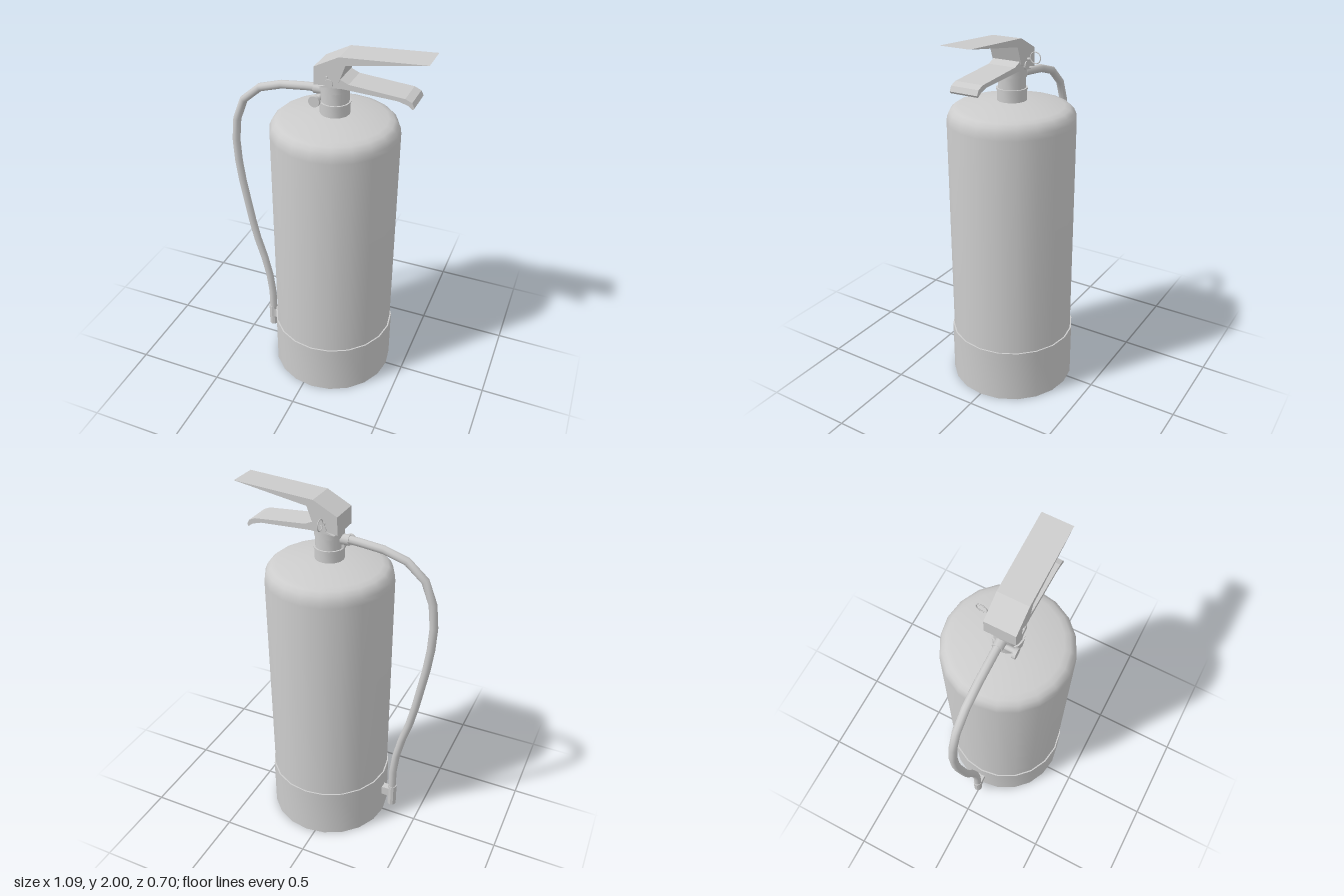
import * as THREE from 'three';
import { toCreasedNormals } from 'three/addons/utils/BufferGeometryUtils.js';

const CX = 0.053; // cylinder axis
const material = new THREE.MeshStandardMaterial({ color: 0xcccccc });
const v2 = ([x, y]) => new THREE.Vector2(x, y);

export function createModel() {
  const model = new THREE.Group();
  model.name = 'fireExtinguisher';

  const add = (name, geometry, x = 0, y = 0, z = 0) => {
    const mesh = new THREE.Mesh(geometry, material);
    mesh.name = name;
    mesh.position.set(x, y, z);
    model.add(mesh);
    return mesh;
  };
  const lathe = (name, points, sides, x, crease = 0.6) =>
    add(name, toCreasedNormals(new THREE.LatheGeometry(points.map(v2), sides), crease), x);
  // Side outline in x/y, extruded symmetrically across z
  const plate = (name, points, width) => {
    const geometry = new THREE.ExtrudeGeometry(new THREE.Shape(points.map(v2)), { depth: width, bevelEnabled: false });
    return add(name, toCreasedNormals(geometry.translate(0, 0, -width / 2), 0.3), 0, 0, -0.002);
  };

  // Tank with rounded shoulder and shallow dome
  lathe('tank', [
    [0.34, 0.29], [0.34, 1.53], [0.337, 1.56], [0.325, 1.588], [0.305, 1.606],
    [0.275, 1.615], [0.19, 1.63], [0.11, 1.642], [0, 1.645],
  ], 20, CX);

  // Base boot
  lathe('baseBoot', [[0, 0], [0.348, 0], [0.348, 0.305], [0.338, 0.305]], 20, CX);

  // Valve neck with its collar
  lathe('valveNeck', [
    [0.078, 1.63], [0.078, 1.7], [0.082, 1.7], [0.082, 1.708], [0.073, 1.708],
    [0.073, 1.77], [0.078, 1.77], [0.078, 1.81], [0, 1.81],
  ], 16, CX);

  // Levers
  plate('upperLever', [
    [-0.03, 1.81], [0.06, 1.825], [0.1, 1.84], [0.135, 1.935], [0.54, 2.0], [0.1, 1.972], [-0.03, 1.905],
  ], 0.165);
  plate('lowerLever', [
    [-0.01, 1.8], [0.12, 1.81], [0.4, 1.797], [0.45, 1.783], [0.475, 1.765], [0.483, 1.775],
    [0.47, 1.8], [0.435, 1.815], [0.15, 1.838], [0.105, 1.858], [0.07, 1.83],
  ], 0.155);

  // Pivot bolt and safety pin ring
  add('pivotBolt', new THREE.CylinderGeometry(0.022, 0.022, 0.176, 12).rotateX(Math.PI / 2), 0.05, 1.83, -0.002);
  add('safetyPin', new THREE.CylinderGeometry(0.007, 0.007, 0.19, 8).rotateX(Math.PI / 2), 0.04, 1.86, -0.005);
  add('pinRing', new THREE.TorusGeometry(0.029, 0.003, 6, 20).rotateY(Math.PI / 2), 0.04, 1.87, -0.13);

  // Pressure gauge on a stem beside the neck
  add('gaugeStem', new THREE.CylinderGeometry(0.015, 0.015, 0.09, 10).rotateX(Math.PI / 2), -0.02, 1.722, 0.035);
  add('gauge', new THREE.CylinderGeometry(0.03, 0.03, 0.018, 14).rotateX(Math.PI / 2), -0.027, 1.722, 0.08);

  // Hose
  const path = new THREE.CatmullRomCurve3([
    [0.02, 1.765], [-0.09, 1.758], [-0.23, 1.745], [-0.375, 1.7], [-0.478, 1.6], [-0.524, 1.43], [-0.52, 1.206],
    [-0.487, 0.995], [-0.44, 0.746], [-0.38, 0.534], [-0.352, 0.36], [-0.35, 0.2],
  ].map(([x, y]) => new THREE.Vector3(x, y, 0)));
  add('hose', new THREE.TubeGeometry(path, 15, 0.022, 10));
  add('hoseFitting', new THREE.CylinderGeometry(0.028, 0.028, 0.09, 10).rotateZ(Math.PI / 2), -0.015, 1.757, 0);

  // Nozzle and its holding clip
  lathe('nozzle', [[0, 0.12], [0.017, 0.12], [0.021, 0.08], [0.025, 0.08], [0.025, 0.22], [0, 0.22]], 10, -0.352);
  add('nozzleClip', new THREE.BoxGeometry(0.06, 0.055, 0.04), -0.313, 0.17, 0);

  return model;
}
